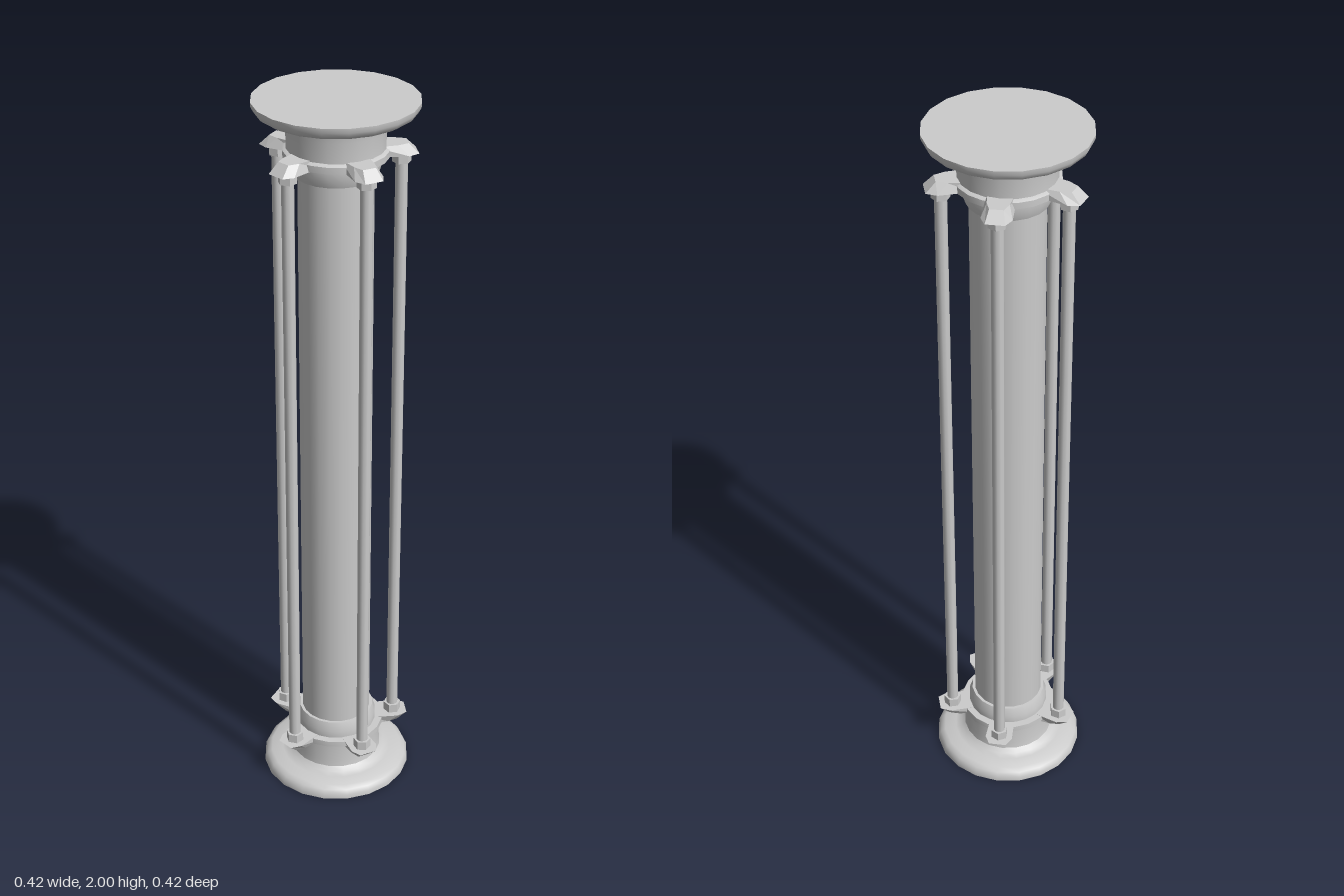
import * as THREE from 'three';
import { toCreasedNormals } from 'three/addons/utils/BufferGeometryUtils.js';

const mat = new THREE.MeshStandardMaterial({ color: 0xcccccc });
const RODS = 5, ROD_R = 0.163;

function add(parent, name, geo) {
  const mesh = new THREE.Mesh(geo, mat);
  mesh.name = name;
  parent.add(mesh);
  return mesh;
}

function lathe(points) {
  const pts = points.map(([r, y]) => new THREE.Vector2(r, y));
  return toCreasedNormals(new THREE.LatheGeometry(pts, 20), 0.6);
}

// Lug plate: outline in (width, radius), narrowed towards its lower face
function lugGeometry() {
  const shape = new THREE.Shape([
    [-0.034, 0.09], [0.034, 0.09], [0.038, 0.175], [0.024, 0.202],
    [-0.024, 0.202], [-0.038, 0.175],
  ].map(([x, y]) => new THREE.Vector2(x, y)));
  const geo = new THREE.ExtrudeGeometry(shape, { depth: 0.026, bevelEnabled: false });
  geo.rotateX(Math.PI / 2); // radius becomes +z, thickness runs down from y = 0
  const p = geo.attributes.position;
  for (let i = 0; i < p.count; i++) {
    if (p.getY(i) < -0.01 && p.getZ(i) > 0.1) {
      p.setX(i, p.getX(i) * 0.72);
      p.setZ(i, p.getZ(i) - 0.026);
    }
  }
  geo.computeVertexNormals();
  return geo;
}

// One end of the column, built upwards from y = 0
function createEnd(name) {
  const end = new THREE.Group();
  end.name = name;
  add(end, 'flaredFoot', lathe([
    [0, 0], [0.208, 0], [0.207, 0.012], [0.2, 0.025], [0.187, 0.033],
    [0.155, 0.036], [0.138, 0.041], [0.127, 0.052], [0.124, 0.07], [0.124, 0.12], [0, 0.12],
  ]));
  add(end, 'bracketRing', lathe([
    [0.09, 0.119], [0.118, 0.119], [0.132, 0.126], [0.132, 0.143], [0.112, 0.143],
    [0.112, 0.165], [0.104, 0.19], [0.09, 0.19],
  ]));
  for (let i = 0; i < RODS; i++) {
    const arm = new THREE.Group();
    arm.name = 'bracket';
    arm.rotation.y = i * Math.PI * 2 / RODS;
    add(arm, 'lug', lugGeometry()).position.y = 0.144;
    const nut = new THREE.CylinderGeometry(0.024, 0.024, 0.028, 6);
    add(arm, 'nut', toCreasedNormals(nut, 0.6)).position.set(0, 0.156, ROD_R);
    end.add(arm);
  }
  return end;
}

export function createModel() {
  const model = new THREE.Group();
  model.name = 'column';

  // Central shaft
  add(model, 'shaft', new THREE.CylinderGeometry(0.096, 0.096, 1.78, 20, 1, true)).position.y = 1;

  // Ring of thin rods
  for (let i = 0; i < RODS; i++) {
    const a = i * Math.PI * 2 / RODS;
    add(model, 'rod', new THREE.CylinderGeometry(0.016, 0.016, 1.72, 10))
      .position.set(Math.sin(a) * ROD_R, 1, Math.cos(a) * ROD_R);
  }

  // Matching ends, the upper one turned over about the front axis
  model.add(createEnd('base'));
  const top = createEnd('capital');
  top.rotation.z = Math.PI;
  top.position.y = 2;
  model.add(top);
  return model;
}
